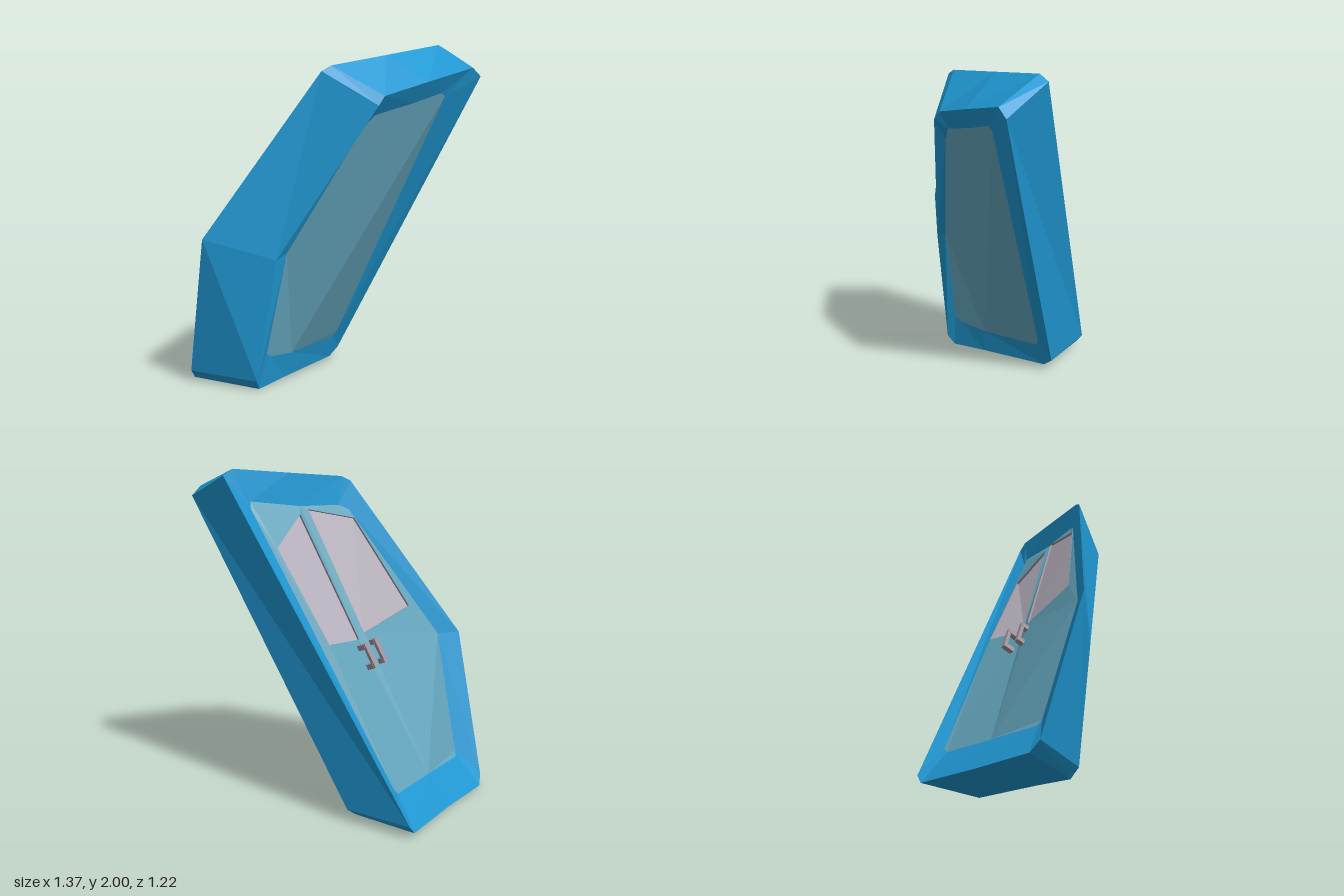
import * as THREE from 'three';

const mat = (name, color, side = THREE.FrontSide) => {
  const m = new THREE.MeshStandardMaterial({ color, side });
  m.name = name;
  return m;
};

// Matching loops: seam bottom, front bottom x2, knee, front top x2, seam top, back top x2, back bottom x2
const innerRim = [
  [-0.25, 0.015, 0.12], [-0.26, 0, 0.35], [-0.24, 0.06, 0.39], [-0.1, 0.81, 0.37], [0.39, 1.69, 0.07], [0.4, 1.74, 0.03],
  [0.53, 1.81, -0.21], [0.66, 1.88, -0.47], [0.68, 1.83, -0.525], [-0.22, 0.08, -0.37], [-0.24, 0.03, -0.31],
];
const outerRim = [
  [-0.655, 0.02, 0.06], [-0.69, 0.01, 0.45], [-0.67, 0.07, 0.5], [-0.45, 0.925, 0.605], [0.07, 1.87, 0.17], [0.1, 1.9, 0.12],
  [0.24, 1.95, -0.22], [0.38, 2, -0.55], [0.4, 1.97, -0.61], [-0.63, 0.08, -0.39], [-0.64, 0.03, -0.35],
];
const outerPanel = [
  [-0.53, 0.21, 0.045], [-0.555, 0.2, 0.38], [-0.54, 0.23, 0.4], [-0.36, 0.93, 0.49], [0.057, 1.71, 0.13], [0.095, 1.74, 0.075],
  [0.2, 1.76, -0.17], [0.32, 1.82, -0.48], [0.31, 1.78, -0.49], [-0.5, 0.25, -0.33], [-0.51, 0.22, -0.3],
];
// Inner panel outline as [y, z]; x follows the twisted inner side
const innerPanel = [
  [0.17, 0.1], [0.19, 0.28], [0.22, 0.32], [0.84, 0.3], [1.55, 0.07], [1.63, 0.02],
  [1.69, -0.19], [1.74, -0.34], [1.72, -0.37], [0.22, -0.3], [0.18, -0.28],
].map(([y, z]) => {
  const t = (y - 0.015) / 1.795;
  const dz = z - (0.12 - 0.33 * t);
  const slope = dz > 0 ? 0.48 * Math.min(1, y / 0.81) : 0.26 * y;
  return [-0.25 + 0.78 * t - slope * dz - 0.03, y, z];
});

const OUT = new THREE.Vector3(-0.87, 0.42, -0.25).normalize();
const IN = OUT.clone().negate();

// Flat-faced mesh from triangles, each turned to face a direction when one is given
function facets(name, tris, material, dir) {
  const pos = [];
  for (const t of tris) {
    const [a, b, c] = t.map((p) => new THREE.Vector3(...p));
    const n = b.clone().sub(a).cross(c.clone().sub(a));
    const order = dir && n.dot(dir) < 0 ? [a, c, b] : [a, b, c];
    for (const v of order) pos.push(v.x, v.y, v.z);
  }
  const g = new THREE.BufferGeometry();
  g.setAttribute('position', new THREE.Float32BufferAttribute(pos, 3));
  g.computeVertexNormals();
  const mesh = new THREE.Mesh(g, material);
  mesh.name = name;
  return mesh;
}

// Band between two loops over a run of indices
function band(a, b, ids) {
  const tris = [];
  for (const i of ids) {
    const j = (i + 1) % a.length;
    tris.push([a[i], a[j], b[j]], [a[i], b[j], b[i]]);
  }
  return tris;
}

const fan = (pts) => pts.slice(2).map((p, i) => [pts[0], pts[i + 1], p]);

export function createModel() {
  const blue = mat('frame blue', 0x2099d4);
  const teal = mat('panel teal', 0x66a8c0);
  const glass = mat('window grey', 0xbab4c0, THREE.DoubleSide);
  const metal = mat('handle grey', 0xa3959c, THREE.DoubleSide);
  const model = new THREE.Group();
  model.name = 'doubleDoor';

  const doors = [
    {
      name: 'frontDoor',
      ids: [0, 1, 2, 3, 4, 5],
      // window corners: seam low, seam high, far high, far low
      win: [[-0.15, 1.04, -0.053], [0.165, 1.74, -0.14], [0.03, 1.66, 0.145], [-0.24, 1.125, 0.333]],
      panel: (p, w) => [
        ...fan([p[0], p[1], p[2], p[3]]), [p[0], p[3], w[0]], [p[3], w[3], w[0]], [p[3], p[4], w[3]],
        [p[4], w[2], w[3]], [p[4], p[5], w[2]], [p[5], w[1], w[2]], [p[5], p[6], w[1]],
      ],
      handle: [-0.195, 0.925, -0.015],
    },
    {
      name: 'backDoor',
      ids: [6, 7, 8, 9, 10],
      win: [[-0.14, 1.01, -0.095], [0.18, 1.72, -0.2], [0.18, 1.57, -0.435], [-0.115, 1.05, -0.38]],
      panel: (p, w) => [
        [p[0], p[10], w[0]], [p[10], w[3], w[0]], [p[10], p[9], w[3]], [p[9], p[8], w[3]],
        [p[8], w[2], w[3]], [p[8], p[7], w[2]], [p[7], w[1], w[2]], [p[7], p[6], w[1]],
      ],
      handle: [-0.19, 0.92, -0.12],
    },
  ];

  for (const d of doors) {
    const door = new THREE.Group();
    door.name = d.name;
    model.add(door);

    // Blue edge walls and rims on both sides
    door.add(facets('edgeWall', band(innerRim, outerRim, d.ids), blue));
    door.add(facets('outerRim', band(outerRim, outerPanel, d.ids), blue, OUT));
    door.add(facets('innerRim', band(innerRim, innerPanel, d.ids), blue, IN));

    // Inner panel, fanned from the seam foot
    const chain = [...d.ids, (d.ids[d.ids.length - 1] + 1) % 11].map((i) => innerPanel[i]);
    if (d.name === 'backDoor') chain.unshift(chain.pop());
    door.add(facets('innerPanel', fan(chain), teal, IN));

    // Outer panel around the window opening
    const w = d.win;
    const p = outerPanel;
    door.add(facets('outerPanel', [...d.panel(p, w), [p[6], p[0], w[0]], [p[6], w[0], w[1]]], teal, OUT));

    // Window, set slightly back, with its reveal
    const sunk = w.map((c) => c.map((v, k) => v - OUT.getComponent(k) * 0.012));
    door.add(facets('window', fan(sunk), glass, OUT));
    door.add(facets('windowFrame', band(w, sunk, [0, 1, 2, 3]), metal));

    // Pull handle: a grip on two posts, aligned with the seam
    const handle = new THREE.Group();
    handle.name = 'handle';
    const up = new THREE.Vector3(0.42, 0.9, -0.12).normalize();
    const side = up.clone().cross(OUT).normalize();
    const out = side.clone().cross(up);
    handle.quaternion.setFromRotationMatrix(new THREE.Matrix4().makeBasis(side, up, out));
    handle.position.set(...d.handle);
    const box = (name, sx, sy, sz, y, z) => {
      const m = new THREE.Mesh(new THREE.BoxGeometry(sx, sy, sz), metal);
      m.name = name;
      m.position.set(0, y, z);
      handle.add(m);
    };
    box('grip', 0.026, 0.15, 0.02, 0, 0.05);
    for (const s of [-1, 1]) box('post', 0.03, 0.03, 0.08, s * 0.06, 0.01);
    door.add(handle);
  }
  return model;
}
